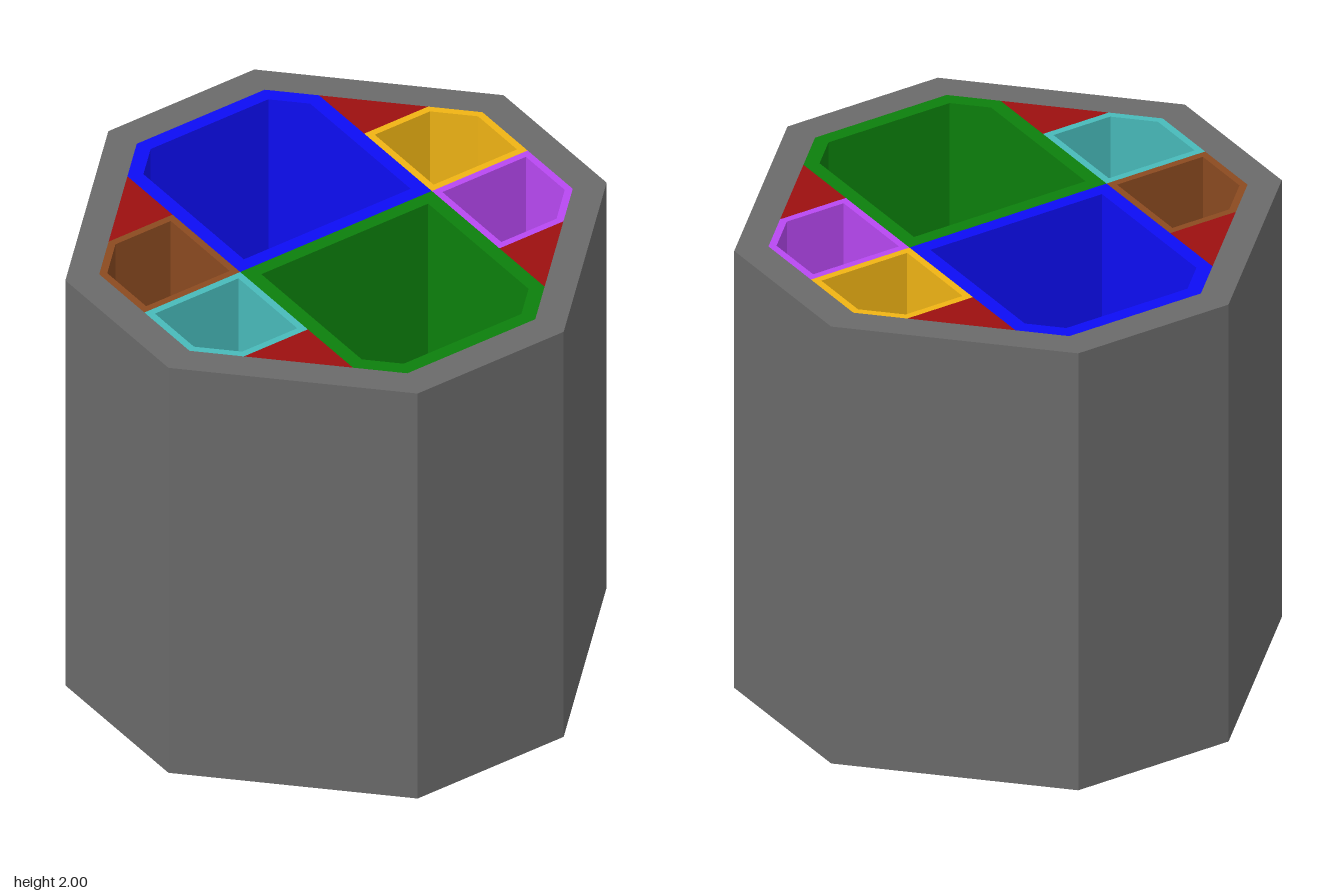
import * as THREE from 'three';

const HEIGHT = 2;

// Offsets a counter-clockwise convex outline inwards by d
function inset(points, d) {
  const n = points.length;
  return points.map((p, i) => {
    const a = points[(i + n - 1) % n], c = points[(i + 1) % n];
    const u = new THREE.Vector2(p[0] - a[0], p[1] - a[1]).normalize();
    const v = new THREE.Vector2(c[0] - p[0], c[1] - p[1]).normalize();
    const k = d / (1 + u.dot(v));
    return [p[0] - (u.y + v.y) * k, p[1] + (u.x + v.x) * k];
  });
}

const toVectors = (points) => points.map(([x, z]) => new THREE.Vector2(x, z));
const halfTurn = (points) => points.map(([x, z]) => [-x, -z]);

// Full-height prism from an (x, z) outline, with an optional hole right through
function prism(name, color, outer, hole) {
  const shape = new THREE.Shape(toVectors(outer));
  if (hole) shape.holes.push(new THREE.Path(toVectors(hole)));
  const geometry = new THREE.ExtrudeGeometry(shape, { depth: HEIGHT, bevelEnabled: false });
  geometry.rotateX(Math.PI / 2).translate(0, HEIGHT, 0);
  const mesh = new THREE.Mesh(geometry, new THREE.MeshStandardMaterial({ color }));
  mesh.name = name;
  return mesh;
}

const octagon = (r, s) => [[-s, -r], [s, -r], [r, -s], [r, s], [s, r], [-s, r], [-r, s], [-r, -s]];

export function createModel() {
  const model = new THREE.Group();
  model.name = 'dividedOctagonalTube';
  const R = 0.875, S = 0.437, T = 0.219, M = 0.656, C = 0.328;

  // Thick outer casing
  model.add(prism('outerCasing', 0x6a6a6a, octagon(1, 0.5), octagon(R, S)));

  // Channel outlines; the opposite channels are half-turn copies
  const large = [[-S, -R], [-T, -R], [C, -C], [-C, C], [-R, -T], [-R, -S]];
  const smallBack = [[T, -R], [S, -R], [M, -M], [C, -C], [0, -M]];
  const smallSide = [[R, -S], [R, -T], [M, 0], [C, -C], [M, -M]];
  const channels = [
    ['largeBackChannel', 0x0d0df5, large, 0.06],
    ['largeFrontChannel', 0x0c800c, halfTurn(large), 0.06],
    ['smallBackChannel', 0xf0b414, smallBack, 0.03],
    ['smallLeftChannel', 0xb848f2, smallSide, 0.03],
    ['smallFrontChannel', 0x48baba, halfTurn(smallBack), 0.03],
    ['smallRightChannel', 0x8b4a20, halfTurn(smallSide), 0.03],
  ];
  for (const [name, color, outline, wall] of channels) {
    model.add(prism(name, color, outline, inset(outline, wall)));
  }

  // Solid triangular fillers between channels and casing
  const fillers = new THREE.Group();
  fillers.name = 'fillers';
  for (let i = 0; i < 4; i++) {
    const filler = prism('filler', 0x9c1010, [[-T, -R], [T, -R], [0, -M]]);
    filler.rotation.y = i * Math.PI / 2;
    fillers.add(filler);
  }
  model.add(fillers);
  return model;
}
